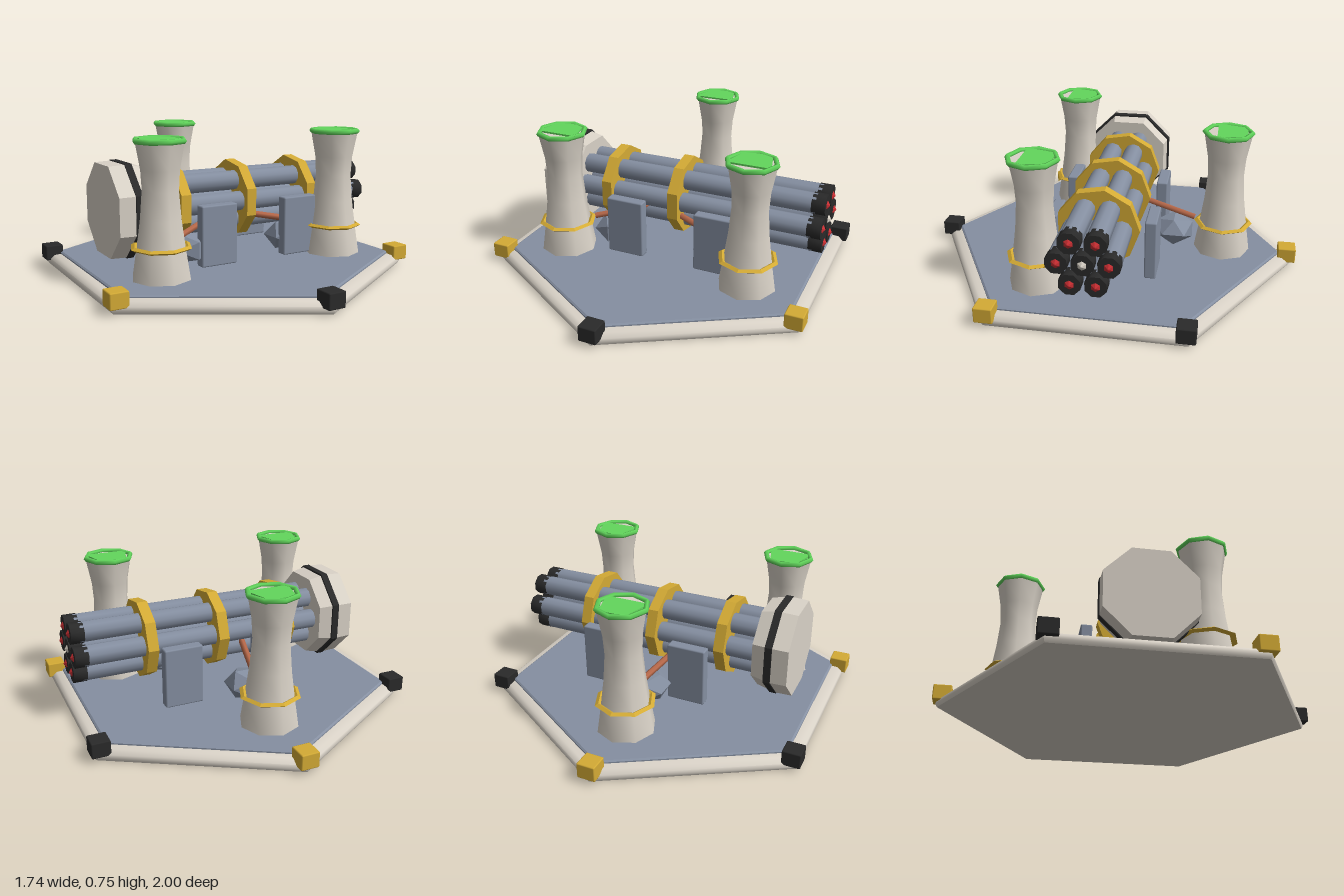
import * as THREE from 'three';
import { toCreasedNormals } from 'three/addons/utils/BufferGeometryUtils.js';
import { RoundedBoxGeometry } from 'three/addons/geometries/RoundedBoxGeometry.js';

const mat = (name, color) => {
  const m = new THREE.MeshStandardMaterial({ color });
  m.name = name;
  return m;
};

export function createModel() {
  const ivory = mat('ivory', 0xd9d2c7);
  const steel = mat('steel', 0x858fa1);
  const gold = mat('gold', 0xd4ab35);
  const black = mat('black', 0x2a2a2a);
  const green = mat('green', 0x62d65c);
  const red = mat('red', 0xcc2f33);
  const copper = mat('copper', 0xb8694a);

  const model = new THREE.Group();
  model.name = 'turret';

  const add = (parent, name, geo, material, x = 0, y = 0, z = 0) => {
    const mesh = new THREE.Mesh(geo, material);
    mesh.name = name;
    mesh.position.set(x, y, z);
    parent.add(mesh);
    return mesh;
  };
  const lathe = (pts, sides, crease) =>
    toCreasedNormals(new THREE.LatheGeometry(pts.map(p => new THREE.Vector2(...p)), sides), crease);
  // Cylinder lying along x from x0 to x1
  const rod = (r0, r1, x0, x1, sides, crease = 0.95) => {
    const g = new THREE.CylinderGeometry(r1, r0, x1 - x0, sides);
    g.rotateY(Math.PI / sides).rotateZ(-Math.PI / 2).translate((x0 + x1) / 2, 0, 0);
    return toCreasedNormals(g, crease);
  };

  // Hexagonal base with a rounded rim and an inset floor
  add(model, 'baseRim', lathe(
    [[0, 0], [0.975, 0], [0.985, 0.018], [0.98, 0.036], [0.955, 0.055], [0.9, 0.058]], 6, 0.8), ivory);
  add(model, 'floor', lathe([[0.915, 0.03], [0.915, 0.064], [0.905, 0.07], [0, 0.07]], 6, 0.4), steel);

  // Corner blocks in alternating colours
  const block = new RoundedBoxGeometry(0.094, 0.08, 0.094, 1, 0.006);
  for (let i = 0; i < 6; i++) {
    const a = i * Math.PI / 3;
    add(model, 'cornerBlock', block, i % 2 ? gold : black, 0.953 * Math.sin(a), 0.068, 0.953 * Math.cos(a));
  }

  // Three pylons with a collar, a glowing rim and a cap plate
  const towerGeo = lathe([[0.15, 0.07], [0.129, 0.2], [0.106, 0.36], [0.094, 0.5],
    [0.1, 0.6], [0.125, 0.735], [0, 0.735]], 8, 0.95);
  const collarGeo = new THREE.TorusGeometry(0.138, 0.018, 4, 8).rotateX(Math.PI / 2).scale(1, 0.6, 1);
  const rimGeo = new THREE.TorusGeometry(0.122, 0.014, 5, 8).rotateX(Math.PI / 2);
  const plateShape = new THREE.Shape(
    [[-0.11, -0.055], [0.11, -0.055], [0.07, 0.1], [-0.07, 0.1]].map(p => new THREE.Vector2(...p)));
  const plateGeo = new THREE.ExtrudeGeometry(plateShape, { depth: 0.009, bevelEnabled: false })
    .rotateX(-Math.PI / 2);
  const collarFlat = toCreasedNormals(collarGeo, 0.3);

  // Inner end of each copper pipe, matched to its pylon
  const pipeEnds = [[-0.08, -0.12], [0.05, 0.13], [-0.06, 0.05]];
  [[0, -0.6], [0.52, 0.3], [-0.52, 0.3]].forEach(([x, z], i) => {
    const pylon = new THREE.Group();
    pylon.name = 'pylon';
    pylon.position.set(x, 0, z);
    model.add(pylon);
    add(pylon, 'pylonBody', towerGeo, ivory);
    add(pylon, 'collar', collarFlat, gold, 0, 0.226, 0);
    add(pylon, 'topRim', rimGeo, green, 0, 0.738, 0);
    add(pylon, 'capPlate', plateGeo, green, 0, 0.737, 0);

    const [ex, ez] = pipeEnds[i];
    const path = new THREE.LineCurve3(
      new THREE.Vector3(x * 0.75, 0.24, z * 0.75), new THREE.Vector3(ex, 0.305, ez));
    add(model, 'pipe', new THREE.TubeGeometry(path, 1, 0.017, 6), copper);

    // Faceted boulder below the pipe
    const rock = toCreasedNormals(new THREE.IcosahedronGeometry(0.115, 0).scale(1, 0.75, 1), 0.1);
    add(model, 'boulder', rock, steel, x * 0.565, 0.165, z * 0.565);
  });

  // Upright shield panels beside the barrels
  const panel = new RoundedBoxGeometry(0.205, 0.315, 0.06, 1, 0.008);
  for (const x of [-0.18, 0.318])
    for (const z of [-0.255, 0.25]) add(model, 'shieldPanel', panel, steel, x, 0.235, z);

  // Rotary gun
  const gun = new THREE.Group();
  gun.name = 'gun';
  gun.position.y = 0.37;
  model.add(gun);

  // Seven barrels: one in the centre and six around it
  const barrelGeo = rod(0.053, 0.053, -0.52, 0.79, 10);
  const muzzleGeo = rod(0.055, 0.055, 0.77, 0.84, 8);
  const tipGeo = rod(0.047, 0.003, 0.825, 0.853, 6, 0.05);
  for (let i = 0; i < 7; i++) {
    const r = i < 6 ? 0.121 : 0;
    const y = r * Math.sin(i * Math.PI / 3);
    const z = r * Math.cos(i * Math.PI / 3);
    add(gun, 'barrel', barrelGeo, steel, 0, y, z);
    add(gun, 'muzzle', muzzleGeo, black, 0, y, z);
    add(gun, 'muzzleTip', tipGeo, i < 6 ? red : ivory, 0, y, z);
  }

  // Clamp rings around the barrels
  const clamp = rod(0.21, 0.21, -0.028, 0.028, 9, 0.3);
  for (const x of [-0.328, 0.06, 0.45]) add(gun, 'clampRing', clamp, gold, x);

  // Breech housing with a dark band
  add(gun, 'breechRear', rod(0.25, 0.254, -0.7, -0.6, 8, 0.3), ivory);
  add(gun, 'breechFront', rod(0.252, 0.232, -0.6, -0.51, 8, 0.3), ivory);
  add(gun, 'breechBand', rod(0.258, 0.258, -0.617, -0.58, 8, 0.3), black);

  return model;
}
